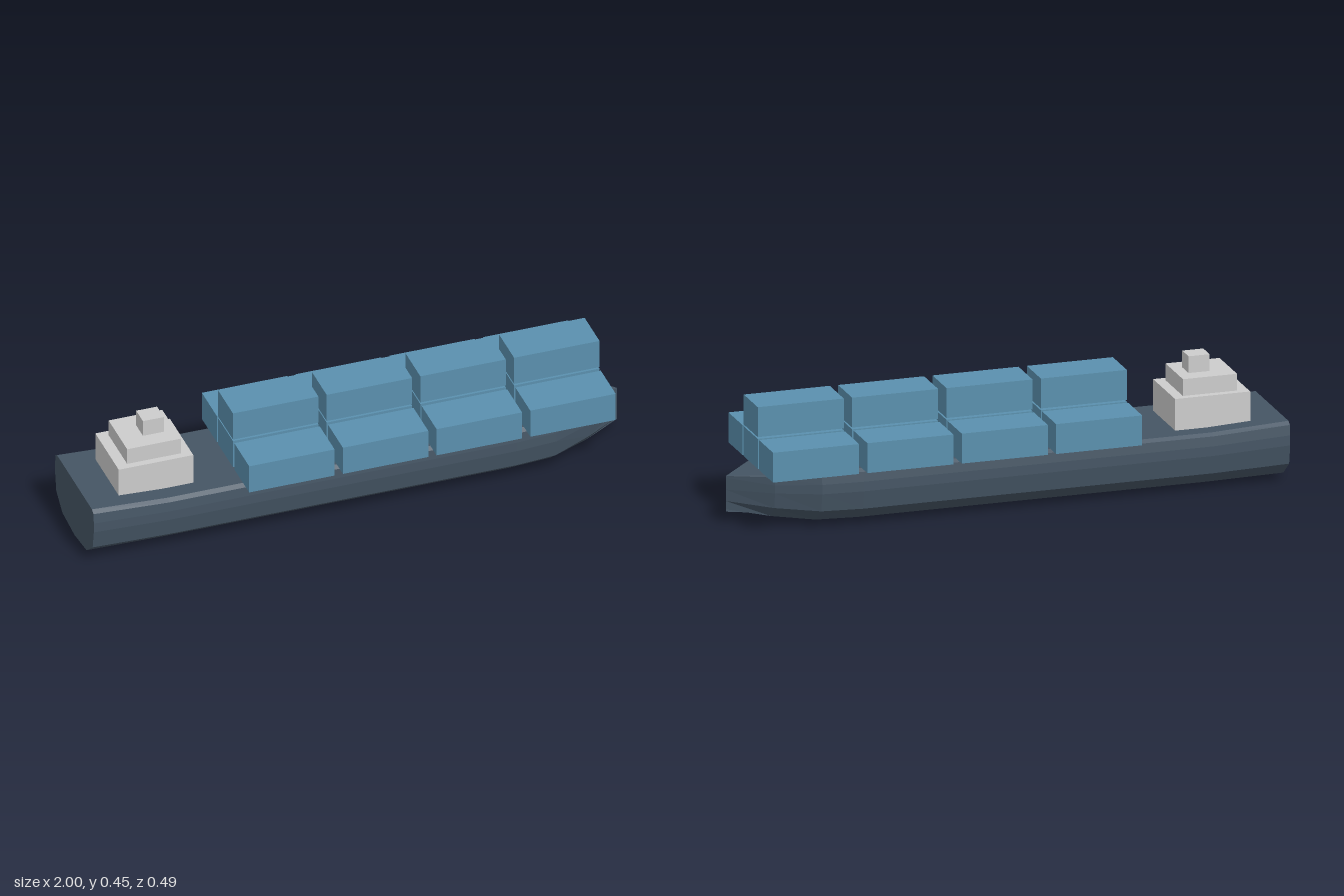
import * as THREE from 'three';

const hullPaint = new THREE.MeshStandardMaterial({ name: 'hull slate', color: 0x455564, flatShading: true });
const containerPaint = new THREE.MeshStandardMaterial({ name: 'container blue', color: 0x5a90ae });
const housePaint = new THREE.MeshStandardMaterial({ name: 'deckhouse grey', color: 0xcccccc });

// Box given by its limits on each axis
function box(name, material, [x0, x1], [y0, y1], [z0, z1]) {
  const mesh = new THREE.Mesh(new THREE.BoxGeometry(x1 - x0, y1 - y0, z1 - z0), material);
  mesh.position.set((x0 + x1) / 2, (y0 + y1) / 2, (z0 + z1) / 2);
  mesh.name = name;
  return mesh;
}

// Hull lofted from one midship half-section, squeezed and lifted at each station
function createHull() {
  const half = [[0, 0], [0.125, 0.014], [0.188, 0.063], [0.2, 0.13], [0.2, 0.165], [0.196, 0.2], [0.18, 0.21], [0, 0.21]];
  const section = [...half, ...half.slice(1, -1).reverse().map(([z, y]) => [-z, y])];
  // x, width factor, keel height, deck height
  const stations = [
    [-1, 1, 0.004, 0.224],
    [-0.72, 1, 0, 0.21],
    [0.56, 1, 0, 0.21],
    [0.71, 0.95, 0.004, 0.209],
    [0.86, 0.6, 0.021, 0.194],
    [1, 0, 0.04, 0.17],
  ];
  const rings = stations.map(([x, w, keel, deck]) =>
    section.map(([z, y]) => [x, keel + (y / 0.21) * (deck - keel), z * w]));
  const positions = [];
  const triangle = (...corners) => corners.forEach((p) => positions.push(...p));
  const n = section.length;
  for (let j = 0; j < n; j++) {
    const k = (j + 1) % n;
    for (let i = 0; i < rings.length - 1; i++) {
      const [a, b] = [rings[i][j], rings[i][k]];
      const [c, d] = [rings[i + 1][j], rings[i + 1][k]];
      triangle(a, c, b);
      if (i < rings.length - 2) triangle(b, c, d);
      else if (c[1] !== d[1]) triangle(b, c, d);
    }
    // Flat transom
    triangle([-1, 0.12, 0], rings[0][j], rings[0][k]);
  }
  const geometry = new THREE.BufferGeometry();
  geometry.setAttribute('position', new THREE.Float32BufferAttribute(positions, 3));
  geometry.computeVertexNormals();
  const hull = new THREE.Mesh(geometry, hullPaint);
  hull.name = 'hull';
  return hull;
}

export function createModel() {
  const ship = new THREE.Group();
  ship.name = 'containerShip';
  ship.add(createHull());

  // Stepped deckhouse near the stern
  const deckhouse = new THREE.Group();
  deckhouse.name = 'deckhouse';
  deckhouse.add(
    box('lowerDeckhouse', housePaint, [-0.88, -0.605], [0.205, 0.325], [-0.121, 0.121]),
    box('bridge', housePaint, [-0.84, -0.642], [0.325, 0.386], [-0.096, 0.096]),
    box('funnel', housePaint, [-0.76, -0.683], [0.386, 0.447], [-0.035, 0.035]),
  );
  ship.add(deckhouse);

  // Four bays: three containers across, one more on top of the middle row
  const cargo = new THREE.Group();
  cargo.name = 'cargo';
  for (let bay = 0; bay < 4; bay++) {
    const start = -0.443 + bay * 0.3455;
    for (const [row, tier] of [[-1, 0], [0, 0], [1, 0], [0, 1]]) {
      const bottom = 0.21 + tier * 0.1155;
      const middle = row * 0.1675;
      cargo.add(box('container', containerPaint,
        [start, start + 0.315], [bottom, bottom + 0.109], [middle - 0.077, middle + 0.077]));
    }
  }
  ship.add(cargo);
  return ship;
}
